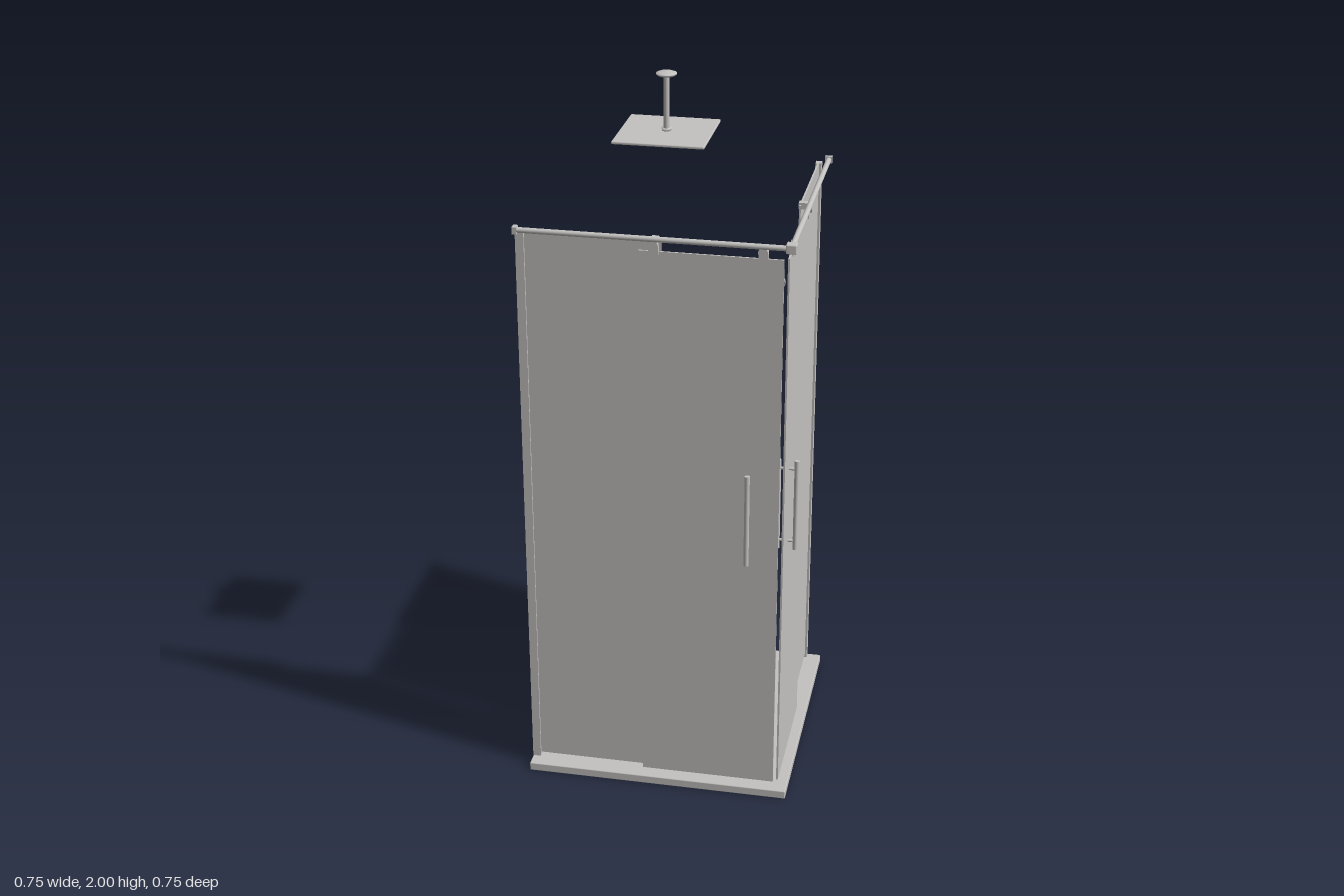
import * as THREE from 'three';
import { RoundedBoxGeometry } from 'three/addons/geometries/RoundedBoxGeometry.js';

const grey = new THREE.MeshStandardMaterial({ color: 0xc3c2c0 });
grey.name = 'light grey';

function add(parent, name, geometry, x = 0, y = 0, z = 0) {
  const mesh = new THREE.Mesh(geometry, grey);
  mesh.name = name;
  mesh.position.set(x, y, z);
  parent.add(mesh);
  return mesh;
}

const box = (w, h, d) => new THREE.BoxGeometry(w, h, d);

// Round bar between two points, optionally tapered
function rod(parent, name, a, b, r, rEnd = r) {
  const from = new THREE.Vector3(...a);
  const to = new THREE.Vector3(...b);
  const dir = to.clone().sub(from);
  const mesh = add(parent, name, new THREE.CylinderGeometry(rEnd, r, dir.length(), 24));
  mesh.position.copy(from).add(to).multiplyScalar(0.5);
  mesh.quaternion.setFromUnitVectors(new THREE.Vector3(0, 1, 0), dir.normalize());
  return mesh;
}

function lathe(points) {
  return new THREE.LatheGeometry(points.map(p => new THREE.Vector2(...p)), 32);
}

// One glazed side; s flips its direction so both sides meet at the same corner
function glassSide(s) {
  const side = new THREE.Group();
  add(side, 'wallProfile', box(0.023, 1.628, 0.017), -0.3635 * s, 0.839, 0.3245);
  add(side, 'fixedPanel', box(0.37, 1.618, 0.005), -0.174 * s, 0.845, 0.3245);
  add(side, 'slidingDoor', box(0.379, 1.59, 0.005), 0.144 * s, 0.831, 0.3435);

  // Overhead rail with its wall flange
  rod(side, 'topRail', [-0.375 * s, 1.661, 0.352], [0.345 * s, 1.661, 0.352], 0.0075);
  add(side, 'railWallMount', box(0.012, 0.02, 0.02), -0.369 * s, 1.661, 0.352);

  // Rollers hanging the door from the rail
  for (const u of [-0.005, 0.28]) {
    rod(side, 'roller', [u * s, 1.645, 0.341], [u * s, 1.645, 0.356], 0.013);
    add(side, 'rollerClip', box(0.026, 0.022, 0.012), u * s, 1.629, 0.3435);
  }
  add(side, 'railClamp', box(0.018, 0.018, 0.03), -0.004 * s, 1.651, 0.335);

  // Paired handle bars inside and outside the door
  for (const z of [0.317, 0.367]) {
    rod(side, 'handleBar', [0.25 * s, 0.745, z], [0.25 * s, 1.015, z], 0.007);
  }
  for (const y of [0.77, 0.99]) {
    rod(side, 'handlePost', [0.25 * s, y, 0.317], [0.25 * s, y, 0.367], 0.004);
  }
  return side;
}

function rainShower() {
  const g = new THREE.Group();
  g.name = 'rainShower';
  g.position.set(-0.04, 0, -0.001);
  add(g, 'rainPlate', new RoundedBoxGeometry(0.249, 0.008, 0.248, 2, 0.003), 0, 1.834, 0);
  rod(g, 'ceilingStem', [0, 1.836, 0], [0, 1.993, 0], 0.008);
  add(g, 'stemCollar', lathe([[0, 0], [0.012, 0], [0.014, 0.008], [0, 0.008]]), 0, 1.837, 0);
  add(g, 'ceilingFlange',
    lathe([[0, 0], [0.023, 0], [0.028, 0.004], [0.028, 0.007], [0.02, 0.01], [0, 0.012]]), 0, 1.988, 0);
  return g;
}

function mixer() {
  const g = new THREE.Group();
  g.name = 'mixer';
  add(g, 'mixerPlate', new RoundedBoxGeometry(0.122, 0.122, 0.007, 2, 0.003), -0.04, 0.93, -0.3715);
  rod(g, 'mixerKnob', [-0.04, 0.93, -0.369], [-0.04, 0.93, -0.34], 0.022);
  return g;
}

function handShower() {
  const g = new THREE.Group();
  g.name = 'handShower';
  g.position.x = 0.21;

  // Wall holder and hose outlet
  for (const [name, y] of [['holder', 1.23], ['hoseOutlet', 0.757]]) {
    rod(g, name + 'Flange', [0, y, -0.375], [0, y, -0.37], 0.018);
    rod(g, name + 'Body', [0, y, -0.371], [0, y, -0.34], 0.015, 0.013);
  }
  rod(g, 'holderArm', [0, 1.23, -0.342], [0, 1.225, -0.298], 0.008);

  // Handle and tilted spray head
  rod(g, 'handle', [0, 1.113, -0.335], [0, 1.3, -0.274], 0.008, 0.012);
  const head = add(g, 'sprayHead',
    lathe([[0, -0.012], [0.02, -0.011], [0.036, -0.004], [0.043, 0.004], [0.04, 0.011], [0, 0.012]]),
    0, 1.327, -0.262);
  head.quaternion.setFromUnitVectors(
    new THREE.Vector3(0, 1, 0), new THREE.Vector3(0, -0.4, 0.92).normalize());

  // Hose loops below the outlet and back up to it
  const path = [
    [0, 1.115, -0.335], [0, 1.03, -0.342], [0, 0.88, -0.338], [-0.005, 0.7, -0.33],
    [-0.008, 0.5, -0.325], [-0.008, 0.36, -0.328], [0, 0.325, -0.335], [0.006, 0.36, -0.342],
    [0.005, 0.5, -0.346], [0.002, 0.68, -0.35], [0, 0.75, -0.352],
  ].map(p => new THREE.Vector3(...p));
  add(g, 'hose', new THREE.TubeGeometry(new THREE.CatmullRomCurve3(path), 80, 0.005, 10));
  return g;
}

export function createModel() {
  const model = new THREE.Group();
  model.name = 'showerEnclosure';

  // Floor tray with a square drain cover
  add(model, 'tray', new RoundedBoxGeometry(0.748, 0.025, 0.748, 2, 0.003), -0.001, 0.0125, -0.001);
  add(model, 'drainCover', box(0.11, 0.002, 0.11), 0, 0.0255, 0);

  const front = glassSide(1);
  front.name = 'frontSide';
  const left = glassSide(-1);
  left.name = 'leftSide';
  left.rotation.y = Math.PI / 2;
  model.add(front, left);

  // Block joining the two rails
  add(model, 'railCorner', new RoundedBoxGeometry(0.028, 0.025, 0.028, 2, 0.003), 0.353, 1.663, 0.353);

  model.add(rainShower(), mixer(), handShower());
  return model;
}
